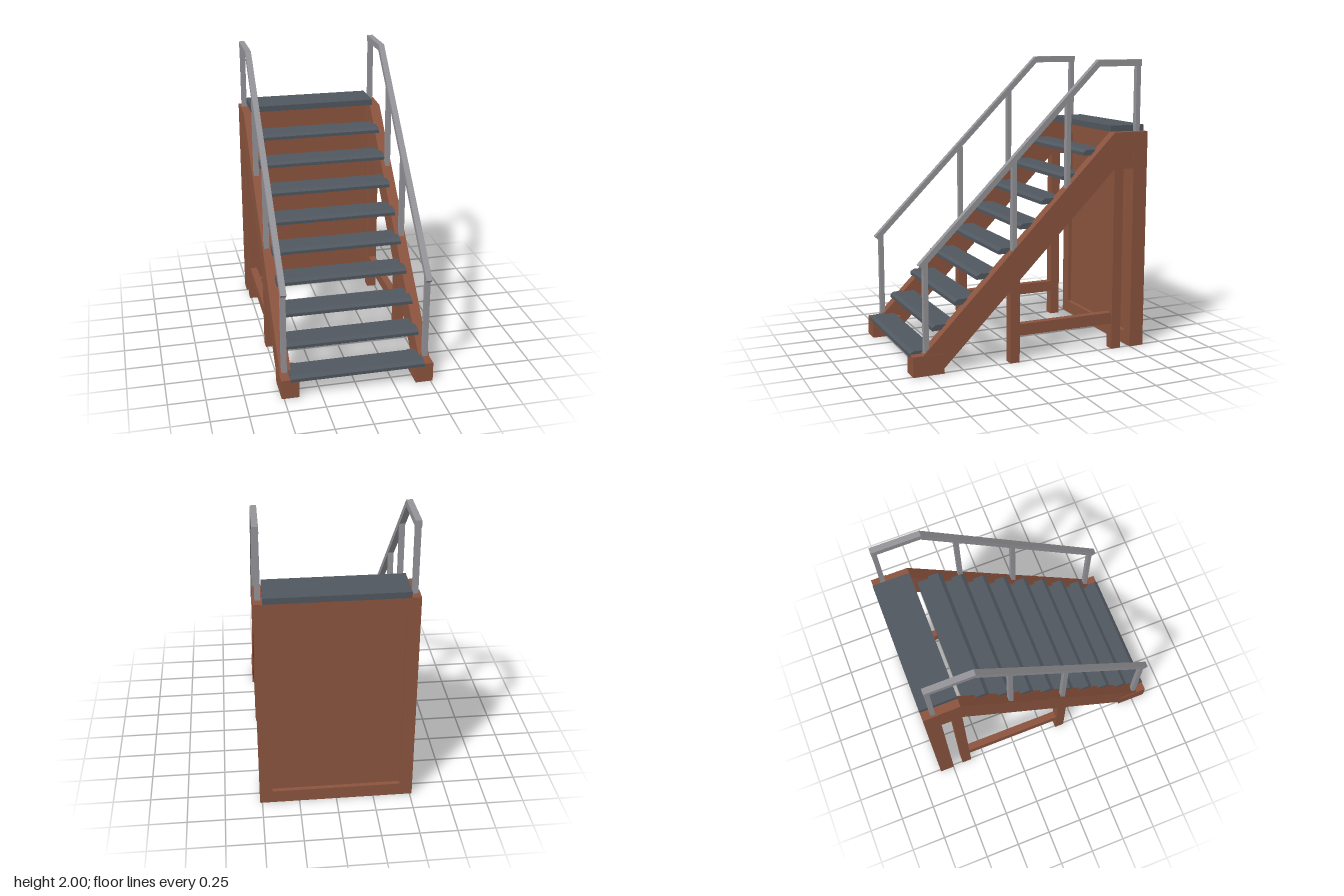
import * as THREE from 'three';

const mat = (name, color) => {
  const m = new THREE.MeshStandardMaterial({ color });
  m.name = name;
  return m;
};

export function createModel() {
  const root = new THREE.Group();
  root.name = 'staircase';
  const wood = mat('red brown wood', 0x8b543e);
  const slate = mat('slate tread', 0x50575f);
  const metal = mat('grey metal', 0x949499);

  const add = (parent, name, geometry, material) => {
    const mesh = new THREE.Mesh(geometry, material);
    mesh.name = name;
    parent.add(mesh);
    return mesh;
  };

  // Box given by its limits on each axis
  const box = (parent, name, material, [x0, x1], [y0, y1], [z0, z1]) => {
    const g = new THREE.BoxGeometry(x1 - x0, y1 - y0, z1 - z0);
    g.translate((x0 + x1) / 2, (y0 + y1) / 2, (z0 + z1) / 2);
    return add(parent, name, g, material);
  };

  // Side profile of [z, y] points, extruded across x0..x1
  const profile = (parent, name, material, points, x0, x1) => {
    const shape = new THREE.Shape(points.map(([z, y]) => new THREE.Vector2(z, y)));
    const g = new THREE.ExtrudeGeometry(shape, { depth: x1 - x0, bevelEnabled: false });
    g.rotateY(-Math.PI / 2);
    g.translate(x1, 0, 0);
    return add(parent, name, g, material);
  };

  // Treads with a chamfered nosing
  const STEP = 0.1555;
  for (let i = 0; i < 9; i++) {
    const z = 0.853 - i * STEP, y = 0.156 + i * STEP;
    profile(root, 'tread', slate, [
      [z, y - 0.038], [z, y - 0.016], [z - 0.024, y], [z - 0.175, y], [z - 0.175, y - 0.038],
    ], -0.455, 0.455);
  }
  box(root, 'landing', slate, [-0.455, 0.455], [1.515, 1.556], [-0.855, -0.6]);

  // Back frame with a panel set into its opening
  const frame = new THREE.Shape([
    [-0.515, 0], [0.515, 0], [0.515, 1.515], [-0.515, 1.515],
  ].map(p => new THREE.Vector2(...p)));
  frame.holes.push(new THREE.Path([
    [-0.43, 0.09], [-0.43, 1.42], [0.43, 1.42], [0.43, 0.09],
  ].map(p => new THREE.Vector2(...p))));
  const frameGeo = new THREE.ExtrudeGeometry(frame, { depth: 0.105, bevelEnabled: false });
  frameGeo.translate(0, 0, -0.852);
  add(root, 'backFrame', frameGeo, wood);
  box(root, 'backPanel', wood, [-0.432, 0.432], [0.088, 1.422], [-0.822, -0.775]);

  // Both sides: stringer, supports and handrail
  for (const s of [1, -1]) {
    const side = new THREE.Group();
    side.name = s > 0 ? 'leftSide' : 'rightSide';
    root.add(side);
    const span = (a, b) => (s > 0 ? [a, b] : [-b, -a]);

    profile(side, 'stringer', wood, [
      [0.64, 0], [0.84, 0], [0.84, 0.133], [0.78, 0.135], [-0.6, 1.515],
      [-0.75, 1.515], [-0.75, 1.265], [-0.6, 1.265], [0.64, 0.03],
    ], ...span(0.438, 0.512));
    box(side, 'foot', wood, span(0.397, 0.516), [0, 0.136], [0.637, 0.85]);
    box(side, 'middlePost', wood, span(0.442, 0.51), [0, 0.58], [0.1, 0.168]);
    box(side, 'rearPost', wood, span(0.442, 0.51), [0, 1.28], [-0.672, -0.602]);
    box(side, 'crossBar', wood, span(0.45, 0.5), [0.18, 0.26], [-0.605, 0.105]);

    profile(side, 'handrail', metal, [
      [0.8, 0.728], [0.773, 0.703], [-0.48, 1.956], [-0.8, 1.956], [-0.8, 2], [-0.472, 2],
    ], ...span(0.463, 0.503));
    // Balusters: z centre, bottom, top
    for (const [z, y0, y1] of [
      [0.753, 0.14, 0.74], [0.135, 0.76, 1.36], [-0.256, 1.15, 1.75], [-0.781, 1.5, 1.97],
    ]) {
      box(side, 'baluster', metal, span(0.465, 0.501), [y0, y1], [z - 0.016, z + 0.016]);
    }
  }
  return root;
}
